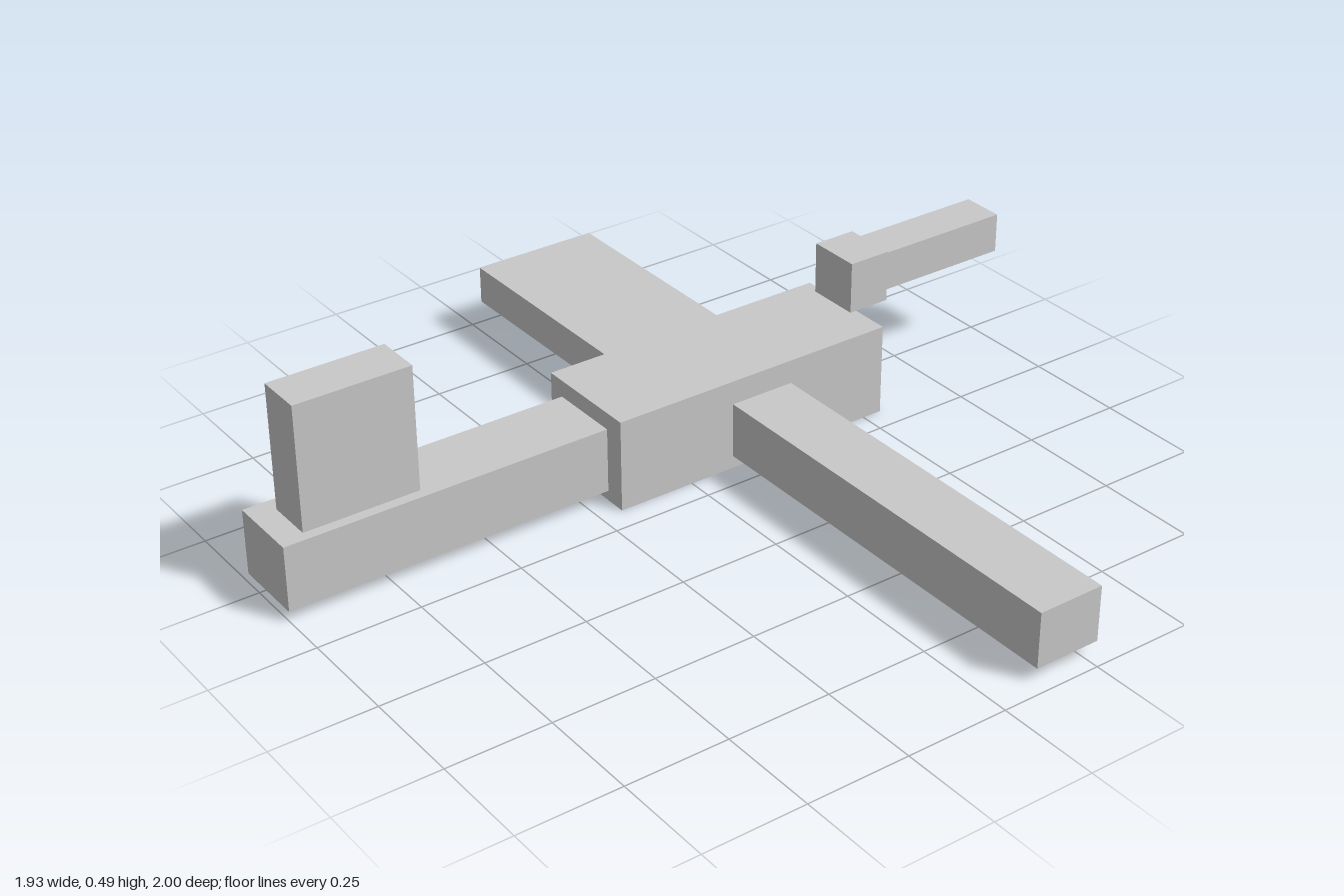
import * as THREE from 'three';

export function createModel() {
  const model = new THREE.Group();
  model.name = 'blockAircraft';
  const grey = new THREE.MeshStandardMaterial({ color: 0xc8c8c8 });
  grey.name = 'lightGrey';

  // Box spanning the given [min, max] range on each axis
  function block(name, [x0, x1], [y0, y1], [z0, z1]) {
    const mesh = new THREE.Mesh(new THREE.BoxGeometry(x1 - x0, y1 - y0, z1 - z0), grey);
    mesh.position.set((x0 + x1) / 2, (y0 + y1) / 2, (z0 + z1) / 2);
    mesh.name = name;
    model.add(mesh);
  }

  // Fuselage, tail boom and upright fin
  block('fuselage', [-0.338, -0.062], [0, 0.227], [-0.55, 0.193]);
  block('tailBoom', [-0.295, -0.115], [0.025, 0.185], [0.193, 1]);
  block('tailFin', [-0.255, -0.141], [0.185, 0.49], [0.657, 0.94]);

  // Unequal wings
  block('leftWing', [-0.062, 0.965], [0.032, 0.168], [-0.28, -0.115]);
  block('rightWing', [-0.965, -0.338], [0.078, 0.172], [-0.333, -0.008]);

  // Raised mount and the bar reaching out from it
  block('barMount', [-0.295, -0.161], [0.227, 0.355], [-0.642, -0.533]);
  block('noseBar', [-0.285, -0.179], [0.243, 0.341], [-1, -0.642]);

  return model;
}
